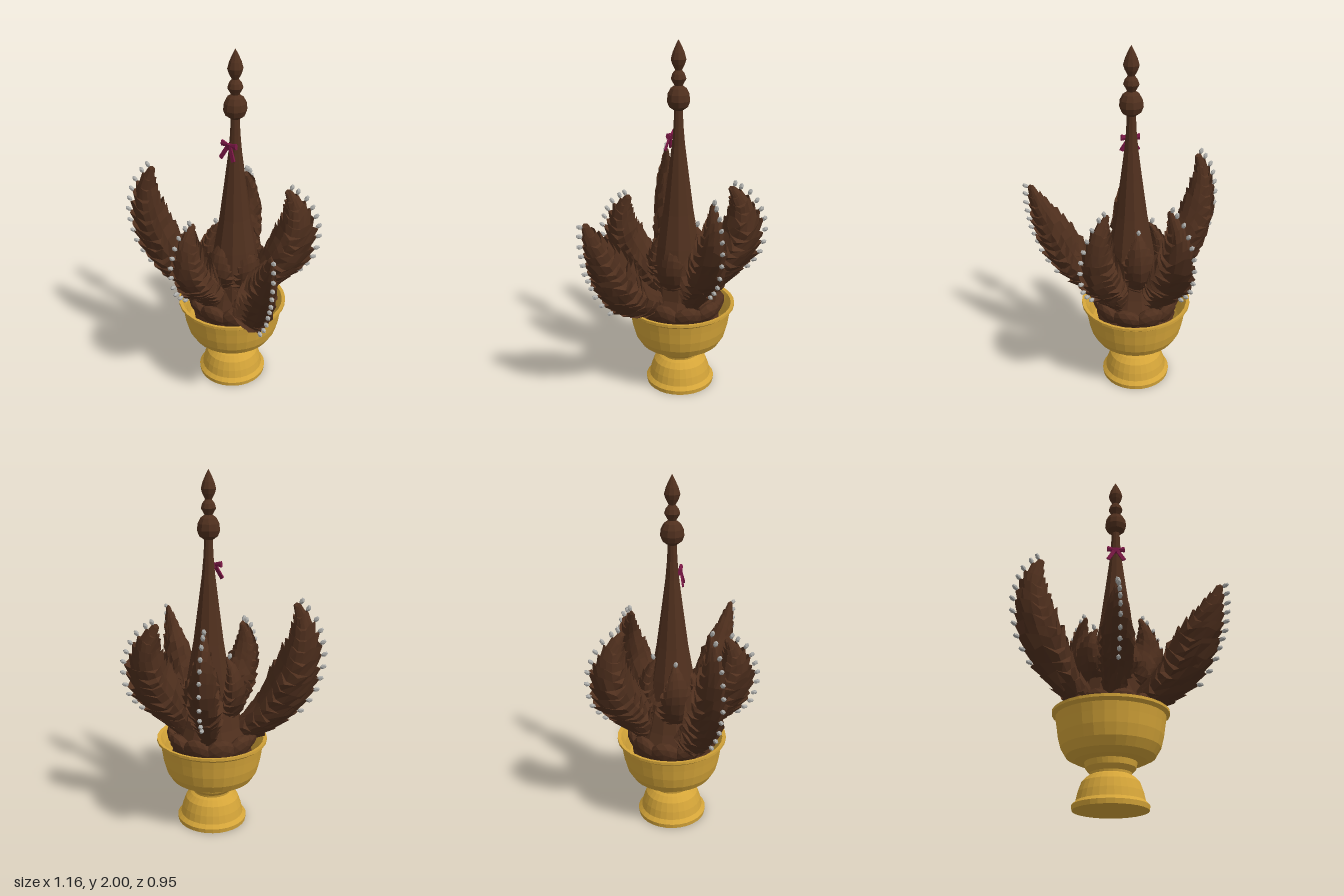
import * as THREE from 'three';

const mat = (name, color, extra = {}) => {
  const m = new THREE.MeshStandardMaterial({ color, flatShading: true, ...extra });
  m.name = name;
  return m;
};
const CX = -0.027, CZ = -0.025;
const V = (x, y, z) => new THREE.Vector3(x, y, z);
const UP = V(0, 1, 0);

// small repeatable irregularity in -1..1
const makeNoise = (seed) => () => {
  seed = (seed * 16807) % 2147483647;
  return (seed / 2147483647) * 2 - 1;
};

export function createModel() {
  const root = new THREE.Group();
  root.name = 'offeringBowl';
  const leafMat = mat('brownLeaf', 0x50301e, { side: THREE.DoubleSide });
  const goldMat = mat('gold', 0xd5a539);
  const budMat = mat('paleBud', 0xaeaeab);
  const bowMat = mat('magentaRibbon', 0x7c1846);

  const add = (parent, geo, material, name, x = 0, y = 0, z = 0) => {
    const m = new THREE.Mesh(geo, material);
    m.name = name;
    m.position.set(x, y, z);
    parent.add(m);
    return m;
  };
  const lathe = (pts, seg) =>
    new THREE.LatheGeometry(pts.map(([r, y]) => new THREE.Vector2(r, y)), seg);

  // footed bowl with a hollow inside
  add(root, lathe([
    [0, 0], [0.197, 0], [0.2, 0.025], [0.18, 0.045], [0.17, 0.09], [0.152, 0.14],
    [0.125, 0.168], [0.108, 0.178], [0.11, 0.19], [0.132, 0.215], [0.138, 0.245],
    [0.19, 0.252], [0.235, 0.275], [0.262, 0.32], [0.278, 0.38], [0.287, 0.44], [0.295, 0.485],
    [0.314, 0.5], [0.314, 0.515], [0.294, 0.512], [0.272, 0.46], [0.255, 0.38],
    [0.21, 0.3], [0, 0.28],
  ], 30), goldMat, 'bowl', CX, 0, CZ);

  // packed mound of leaves that carries the arrangement
  add(root, lathe([[0.2, 0.3], [0.23, 0.42], [0.21, 0.5], [0.17, 0.6], [0.13, 0.75], [0, 0.85]], 14),
    leafMat, 'leafMound', CX, 0, CZ);

  // central spire with stacked finial
  add(root, lathe([
    [0.165, 0.45], [0.145, 0.7], [0.122, 0.88], [0.088, 1.07], [0.058, 1.29], [0.037, 1.45],
    [0.028, 1.55], [0.024, 1.635], [0.052, 1.655], [0.064, 1.685], [0.06, 1.72],
    [0.044, 1.75], [0.022, 1.765], [0.03, 1.78], [0.042, 1.8], [0.034, 1.825],
    [0.018, 1.845], [0.034, 1.875], [0.042, 1.9], [0.032, 1.935], [0.016, 1.97], [0, 2],
  ], 10), leafMat, 'spire', -0.002, 0, -0.022);

  // ribbon bow on the front of the spire
  const bow = new THREE.Group();
  bow.name = 'bow';
  bow.position.set(-0.005, 1.492, 0.022);
  root.add(bow);
  add(bow, new THREE.BoxGeometry(0.026, 0.028, 0.022), bowMat, 'bowKnot');
  for (const s of [-1, 1]) {
    const loop = add(bow, new THREE.CylinderGeometry(0.019, 0.009, 0.046, 6), bowMat, 'bowLoop', s * 0.028, 0.008, 0);
    loop.rotation.z = -s * 1.5;
    loop.scale.z = 0.6;
    const tail = add(bow, new THREE.BoxGeometry(0.022, 0.08, 0.009), bowMat, 'bowTail', s * 0.027, -0.036, 0.01);
    tail.rotation.set(-0.2, 0, s * 0.5);
  }

  // curved horn made of folded leaf layers, with buds along its outer edge
  const budGeo = new THREE.IcosahedronGeometry(0.0155, 0).scale(0.85, 1.35, 0.85);
  const sizeAt = (t) => {
    const stops = [[0, 0.5], [0.3, 0.88], [0.45, 1], [0.65, 0.85], [0.85, 0.48], [1, 0.14]];
    const i = stops.findIndex(([stop]) => t <= stop) || 1;
    const [a, va] = stops[i - 1], [b, vb] = stops[i];
    return THREE.MathUtils.mapLinear(t, a, b, va, vb);
  };
  function horn(name, o, seed) {
    const group = new THREE.Group();
    group.name = name;
    root.add(group);
    const noise = makeNoise(seed);
    const d = V(o.dir[0], 0, o.dir[1]).normalize();
    const side = UP.clone().cross(d);
    const { k, tipSide = 0 } = o;
    const path = new THREE.CatmullRomCurve3([
      [o.base, 0], [o.out - 0.28 * k, 0.23], [o.out - 0.14 * k, 0.57],
      [(o.out + o.tipR) / 2 - 0.04 * k, 0.85], [o.tipR, 1],
    ].map(([r, f]) => V(CX + d.x * r, 0.52 + (o.top - 0.52) * f, CZ + d.z * r)
      .addScaledVector(side, tipSide * f * f)));

    const SEG = 14, pos = [], idx = [];
    const frame = (t) => {
      const T = path.getTangentAt(t);
      return { P: path.getPointAt(t), T, N: side.clone().cross(T).normalize() };
    };
    const ring = (t, scale, lift) => {
      const { P, T, N } = frame(t);
      const s = sizeAt(t);
      for (let j = 0; j < SEG; j++) {
        const a = (j / SEG) * Math.PI * 2, c = Math.cos(a);
        const q = scale * s * (1 + 0.08 * noise());
        const peak = 1 + 0.16 * Math.max(0, c) ** 6;
        pos.push(...P.clone()
          .addScaledVector(N, c * o.a * q * peak)
          .addScaledVector(side, Math.sin(a) * o.b * q)
          .addScaledVector(T, lift * s * (1.3 * Math.abs(c) - 0.4 + 0.25 * noise())).toArray());
      }
    };
    for (let i = 0; i < o.layers; i++) {
      const t1 = (i + 1) / o.layers;
      ring(i / o.layers, 0.86, 0);
      ring(t1, 1.06, 0.08 * k);
      if (i < o.firstBud) continue;
      // bud at the layer's outer point
      const { P, T, N } = frame(t1);
      const s = sizeAt(t1);
      const aim = N.clone().add(T).normalize();
      const bud = add(group, budGeo, budMat, 'bud');
      bud.position.copy(P).addScaledVector(N, o.a * 1.2 * s)
        .addScaledVector(T, 0.07 * k * s).addScaledVector(aim, 0.014);
      bud.quaternion.setFromUnitVectors(UP, aim);
    }
    const rings = o.layers * 2;
    for (let i = 0; i < rings - 1; i++) {
      for (let j = 0; j < SEG; j++) {
        const a = i * SEG + j, b = i * SEG + ((j + 1) % SEG);
        idx.push(a, b, b + SEG, a, b + SEG, a + SEG);
      }
    }
    // closed tip
    const tip = pos.length / 3, last = (rings - 1) * SEG;
    const end = frame(1);
    pos.push(...end.P.addScaledVector(end.T, 0.02).toArray());
    for (let j = 0; j < SEG; j++) idx.push(last + j, last + ((j + 1) % SEG), tip);
    const geo = new THREE.BufferGeometry();
    geo.setAttribute('position', new THREE.Float32BufferAttribute(pos, 3));
    geo.setIndex(idx);
    geo.computeVertexNormals();
    add(group, geo, leafMat, 'foldedLeaves');
  }

  // five large outer horns
  const big = { base: 0.11, k: 1, a: 0.122, b: 0.094, layers: 15, firstBud: 4 };
  [
    ['frontHorn', { dir: [0, 1], out: 0.46, tipR: 0.31, top: 1.11 }],
    ['leftHorn', { dir: [0.58, 0.34], out: 0.635, tipR: 0.635, top: 1.13 }],
    ['rightHorn', { dir: [-0.54, 0.29], out: 0.605, tipR: 0.46, top: 1.29 }],
    ['backLeftHorn', { dir: [0.385, -0.33], out: 0.475, tipR: 0.31, top: 1.18, tipSide: 0.05 }],
    ['backRightHorn', { dir: [-0.215, -0.43], out: 0.475, tipR: 0.29, top: 1.18 }],
  ].forEach(([name, o], i) => horn(name, { ...big, ...o }, 101 + i * 37));

  // small horns hugging the spire
  const small = { base: 0.1, out: 0.185, tipR: 0.09, k: 0.4, a: 0.065, b: 0.11, layers: 12 };
  [
    { dir: [1, 0.1], top: 0.9, firstBud: 12 },
    { dir: [-1, 0.3], top: 0.98, firstBud: 11 },
    { dir: [0.1, 1], top: 0.92, firstBud: 12 },
    { dir: [0.05, -1], top: 0.98, firstBud: 11 },
  ].forEach((o, i) => horn('innerHorn', { ...small, ...o }, 911 + i * 53));

  // broad folded leaves lying low towards the rim
  const leafGeo = new THREE.IcosahedronGeometry(1, 1).scale(0.085, 0.085, 0.045);
  for (let i = 0; i < 10; i++) {
    const a = (i / 10) * Math.PI * 2 + 0.2;
    const leaf = add(root, leafGeo, leafMat, 'rimLeaf',
      CX + Math.sin(a) * 0.2, 0.5, CZ + Math.cos(a) * 0.2);
    leaf.rotation.set(0.5 + 0.15 * Math.sin(i * 5), a, 0, 'YXZ');
  }
  return root;
}
